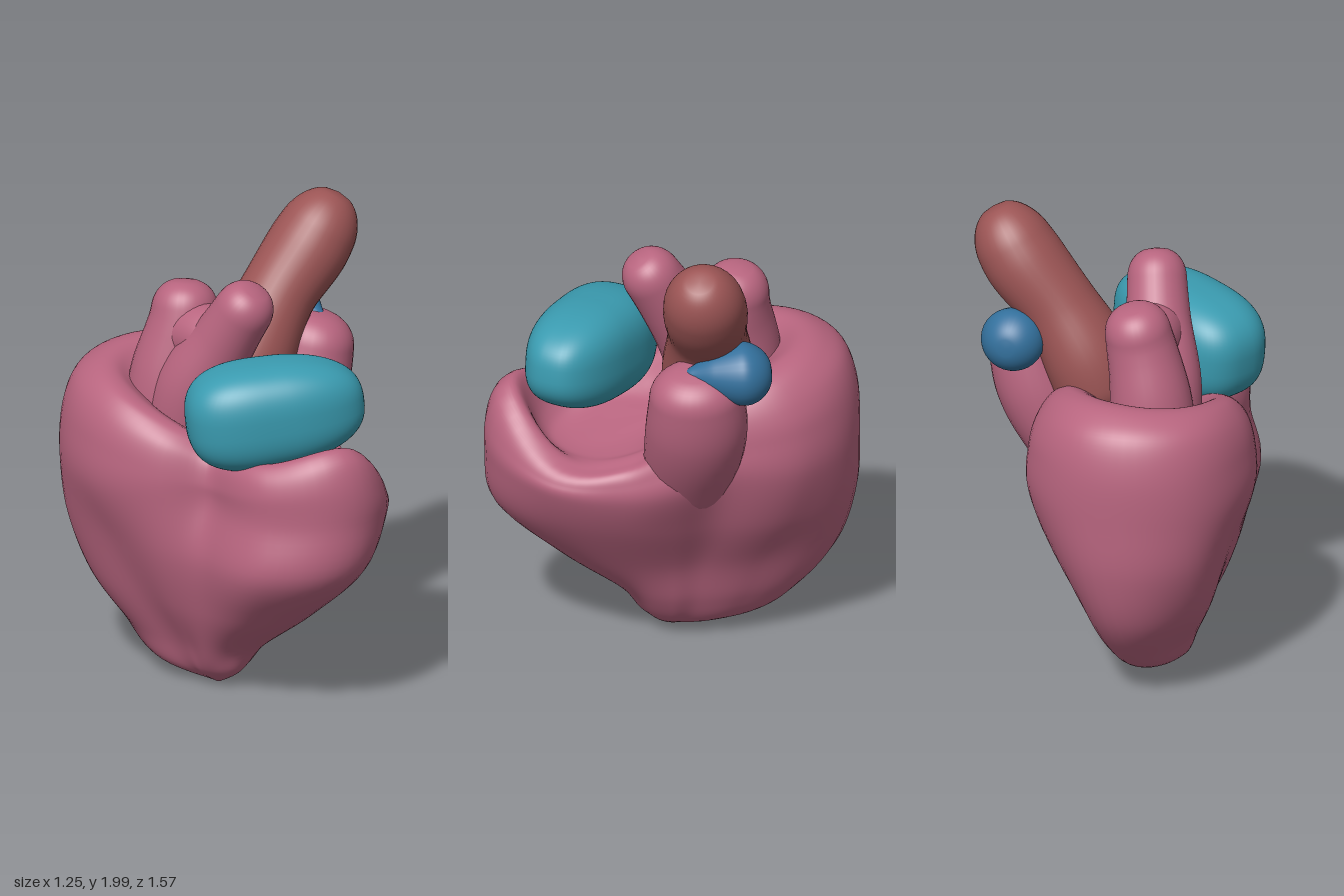
import * as THREE from 'three';
import { mergeVertices } from 'three/addons/utils/BufferGeometryUtils.js';

const paint = color => new THREE.MeshStandardMaterial({ color, side: THREE.DoubleSide });
const PINK = paint(0xb8657f), RED = paint(0x9c5555), TEAL = paint(0x3a9bb0), BLUE = paint(0x33709c);

// Weld seams and give smooth normals
function smooth(geo) {
  geo.deleteAttribute('uv');
  geo.deleteAttribute('normal');
  const g = mergeVertices(geo, 1e-4);
  g.computeVertexNormals();
  return g;
}

function part(name, geo, material) {
  const mesh = new THREE.Mesh(smooth(geo), material);
  mesh.name = name;
  return mesh;
}

const spline = (a, b, c, d, t) =>
  b + 0.5 * t * (c - a + t * (2 * a - 5 * b + 4 * c - d + t * (3 * (b - c) + d - a)));

// Smooth vessel along [x, y, z, radius] points with rounded ends
function sweep(points, capStart, capEnd, zScale = 1) {
  const curve = new THREE.CatmullRomCurve3(points.map(p => new THREE.Vector3(p[0], p[1], p[2])));
  const segs = 100, sides = 32, blunt = 2.3;
  const geo = new THREE.TubeGeometry(curve, segs, 1, sides);
  const pos = geo.attributes.position, v = new THREE.Vector3();
  const n = points.length - 1;
  const rad = k => points[Math.min(n, Math.max(0, k))][3];
  const cap = t => t >= 1 ? 1 : Math.pow(1 - Math.pow(1 - t, blunt), 1 / blunt);
  for (let i = 0; i <= segs; i++) {
    const u = i / segs, c = curve.getPointAt(u);
    const k = Math.min(n - 1, Math.floor(u * n));
    const r = spline(rad(k - 1), rad(k), rad(k + 1), rad(k + 2), u * n - k)
      * cap(u / capStart) * cap((1 - u) / capEnd);
    for (let j = 0; j <= sides; j++) {
      const q = i * (sides + 1) + j;
      v.fromBufferAttribute(pos, q).sub(c).multiplyScalar(r);
      v.z *= zScale;
      v.add(c);
      pos.setXYZ(q, v.x, v.y, v.z);
    }
  }
  return geo;
}

// Lobed body: values every 30 degrees, from the front round by +x
function bodyGeometry() {
  // Outer wall: centre x, height, radii
  const rows = [
    [-0.17, 0.00, [.01, .01, .01, .01, .01, .01, .01, .01, .01, .01, .01, .01]],
    [-0.17, 0.07, [.12, .11, .12, .13, .15, .24, .37, .26, .13, .10, .10, .11]],
    [-0.15, 0.20, [.22, .20, .20, .20, .22, .34, .55, .40, .23, .18, .19, .20]],
    [-0.12, 0.40, [.48, .39, .29, .25, .27, .42, .70, .60, .37, .31, .31, .42]],
    [-0.08, 0.65, [.74, .57, .42, .36, .37, .56, .77, .74, .52, .43, .41, .64]],
    [-0.05, 0.90, [.78, .64, .47, .44, .43, .63, .78, .79, .65, .49, .39, .63]],
  ].map(([cx, y, r]) => ({ cx, r, y: r.map(() => y) }));
  // The wall is lower where the rim dips
  rows[5].y = [.9, .84, .82, .87, .9, .9, .9, .9, .9, .9, .88, .88];
  // Rim rolling inward: share of the widest radius, heights
  const widest = rows[5].r;
  for (const [f, y] of [
    [.99, [1.06, .91, .91, 1.00, 1.04, 1.09, 1.12, 1.11, 1.09, 1.03, .98, 1.02]],
    [.93, [1.17, .95, .96, 1.08, 1.14, 1.20, 1.27, 1.26, 1.21, 1.13, 1.06, 1.10]],
    [.82, [1.19, .96, .98, 1.10, 1.20, 1.28, 1.34, 1.33, 1.28, 1.18, 1.10, 1.13]],
    [.70, [1.00, .95, 1.0, 1.10, 1.21, 1.31, 1.36, 1.34, 1.28, 1.19, 1.11, 1.06]],
    [.58, [.95, .95, 1.0, 1.10, 1.20, 1.30, 1.32, 1.27, 1.23, 1.16, 1.09, 1.01]],
    [.35, [.98, .98, 1.02, 1.10, 1.15, 1.21, 1.18, 1.12, 1.10, 1.10, 1.06, 1.02]],
    [0, widest.map(() => 1.05)],
  ]) rows.push({ cx: -0.05, r: widest.map(r => r * f), y });

  const around = 96, steps = 7, last = rows.length - 1;
  const row = i => rows[Math.min(last, Math.max(0, i))];
  const ring = (list, a) => {
    const k = Math.floor(a), at = i => list[(i + 12) % 12];
    return spline(at(k - 1), at(k), at(k + 1), at(k + 2), a - k);
  };
  const verts = [], index = [];
  const total = last * steps;
  for (let i = 0; i <= total; i++) {
    const k = Math.min(last - 1, Math.floor(i / steps)), t = i / steps - k;
    const four = [k - 1, k, k + 1, k + 2].map(row);
    for (let j = 0; j < around; j++) {
      const a = j / around * 12, ang = j / around * Math.PI * 2;
      const r = Math.max(0, spline(...four.map(s => ring(s.r, a)), t));
      const y = Math.max(0, spline(...four.map(s => ring(s.y, a)), t));
      const cx = spline(...four.map(s => s.cx), t);
      verts.push(cx + r * Math.sin(ang), y, r * Math.cos(ang));
      if (i < total) {
        const p = i * around + j, q = i * around + (j + 1) % around;
        index.push(p, q, q + around, p, q + around, p + around);
      }
    }
  }
  const geo = new THREE.BufferGeometry();
  geo.setAttribute('position', new THREE.Float32BufferAttribute(verts, 3));
  geo.setIndex(index);
  return geo;
}

// Boxy rounded chamber, tapering toward +x
function chamberGeometry() {
  const geo = new THREE.SphereGeometry(1, 64, 48);
  const pos = geo.attributes.position;
  const box = (s, e) => Math.sign(s) * Math.pow(Math.abs(s), e);
  for (let i = 0; i < pos.count; i++) {
    const x = pos.getX(i), taper = 1 - 0.12 * x;
    pos.setXYZ(i, box(x, 0.8) * 0.375, box(pos.getY(i), 0.72) * 0.222 * taper,
      box(pos.getZ(i), 0.78) * 0.21 * taper);
  }
  geo.rotateZ(0.1);
  geo.rotateY(-0.55);
  geo.translate(-0.155, 1.3, 0.34);
  return geo;
}

export function createModel() {
  const model = new THREE.Group();
  model.name = 'heart';

  model.add(part('ventricles', bodyGeometry(), PINK));

  // Side outlet rising from the body on +x
  model.add(part('sideOutlet', sweep([
    [.06, .62, -.05, .11], [.21, .9, -.06, .165], [.36, 1.2, -.08, .185], [.43, 1.485, -.07, .16],
  ], .3, .14, 1.15), PINK));

  // Forked vessel: a tall front horn and a short back horn, webbed together
  const fork = new THREE.Group();
  fork.name = 'forkedVessel';
  fork.add(part('frontHorn', sweep([
    [-.19, 1.0, -.2, .17], [-.18, 1.28, -.13, .17], [-.13, 1.52, 0, .135], [-.08, 1.76, .14, .12],
  ], .1, .15), PINK));
  fork.add(part('backHorn', sweep([
    [-.2, 1.0, -.3, .18], [-.18, 1.3, -.29, .175], [-.13, 1.53, -.27, .15], [-.1, 1.69, -.29, .13],
  ], .1, .17), PINK));
  fork.add(part('web', sweep([
    [-.15, 1.42, -.36, .13], [-.13, 1.48, -.22, .135], [-.13, 1.49, -.08, .13], [-.12, 1.48, .06, .1],
  ], .2, .2), PINK));
  model.add(fork);

  // Large red artery
  model.add(part('artery', sweep([
    [.06, 1.13, -.13, .18], [.13, 1.35, -.14, .185], [.26, 1.57, -.13, .16],
    [.43, 1.77, -.11, .17], [.56, 1.97, -.08, .14],
  ], .15, .18, 1.03), RED));

  model.add(part('frontChamber', chamberGeometry(), TEAL));

  // Small blue vessel tip, pointed toward the front
  model.add(part('blueVessel', sweep([
    [.42, 1.46, -.02, .02], [.42, 1.46, -.15, .09], [.42, 1.46, -.27, .135], [.42, 1.47, -.39, .13],
  ], .1, .4), BLUE));

  return model;
}
